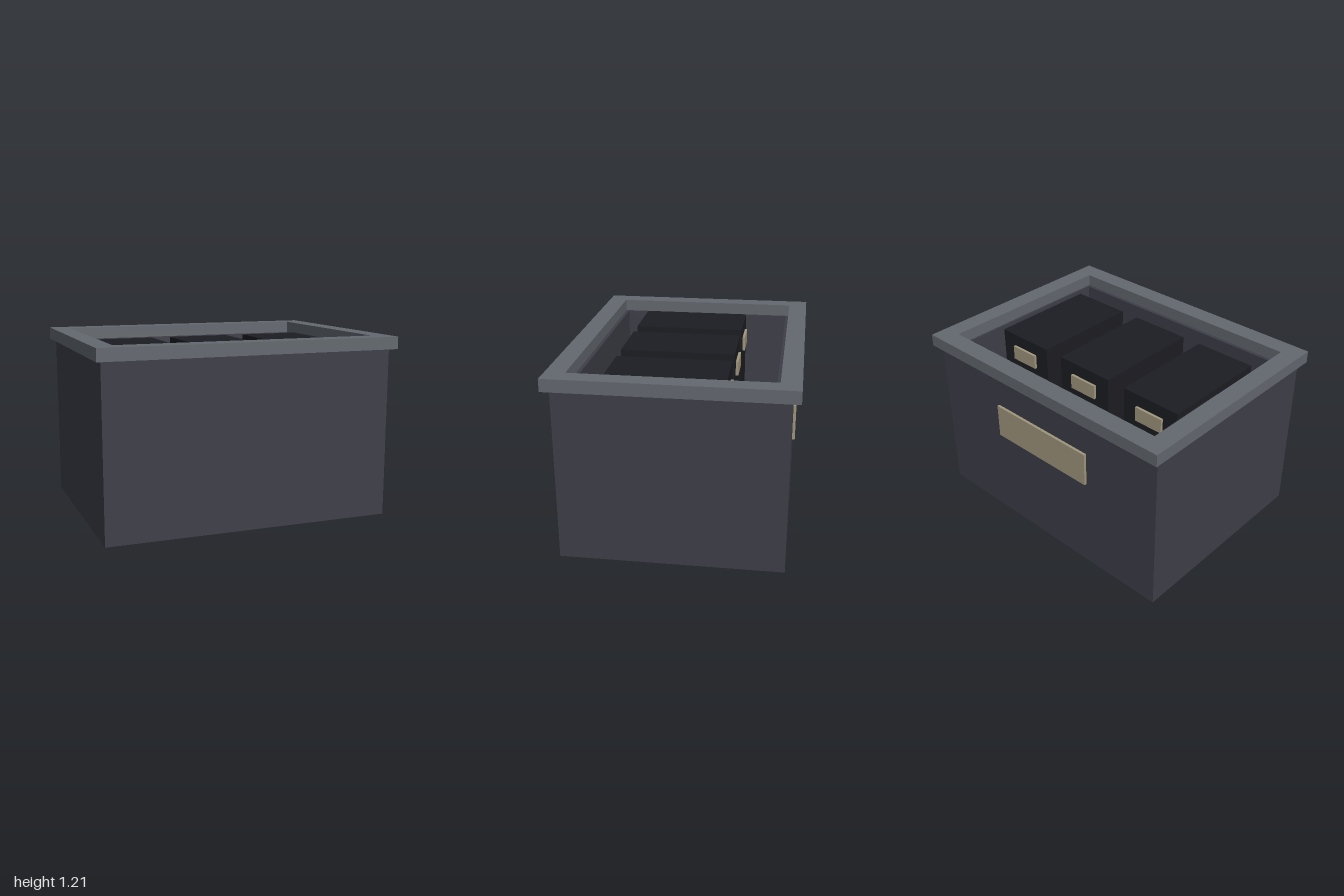
import * as THREE from 'three';

const material = (color) => new THREE.MeshStandardMaterial({ color });

function addBox(parent, name, mat, size, pos) {
  const mesh = new THREE.Mesh(new THREE.BoxGeometry(...size), mat);
  mesh.name = name;
  mesh.position.set(...pos);
  parent.add(mesh);
  return mesh;
}

function rectangle(PathType, hx, hz) {
  return new PathType([
    new THREE.Vector2(-hx, -hz), new THREE.Vector2(hx, -hz),
    new THREE.Vector2(hx, hz), new THREE.Vector2(-hx, hz),
  ]);
}

// Rectangular ring lying flat, from height y0 to y1
function addFrame(parent, name, mat, outer, inner, y0, y1) {
  const shape = rectangle(THREE.Shape, ...outer);
  shape.holes.push(rectangle(THREE.Path, ...inner));
  const geometry = new THREE.ExtrudeGeometry(shape, { depth: y1 - y0, bevelEnabled: false });
  geometry.rotateX(-Math.PI / 2);
  const mesh = new THREE.Mesh(geometry, mat);
  mesh.name = name;
  mesh.position.y = y0;
  parent.add(mesh);
}

export function createModel() {
  const model = new THREE.Group();
  model.name = 'openCrate';
  const shell = material(0x3d3e48);
  const trim = material(0x63686f);
  const dark = material(0x1c1d22);
  const tan = material(0xa0967c);

  // Open container: walls, floor and overhanging rim
  const floorTop = 0.1;
  addFrame(model, 'walls', shell, [0.965, 0.715], [0.857, 0.613], 0, 1.13);
  addBox(model, 'floor', shell, [1.714, floorTop, 1.226], [0, floorTop / 2, 0]);
  addFrame(model, 'rim', trim, [1, 0.765], [0.873, 0.637], 1.13, 1.212);

  // Label plate on the back wall
  addBox(model, 'backLabel', tan, [0.8, 0.235, 0.02], [0, 0.77, -0.723]);

  // Row of three blocks inside, each with a small label on its back
  const top = 1.155;
  for (const x of [-0.565, 0, 0.565]) {
    const block = new THREE.Group();
    block.name = 'block';
    block.position.x = x;
    addBox(block, 'blockBody', dark, [0.43, top - floorTop, 0.76], [0, (top + floorTop) / 2, 0.065]);
    addBox(block, 'blockLabel', tan, [0.21, 0.1, 0.018], [0, 1.02, -0.324]);
    model.add(block);
  }
  return model;
}
